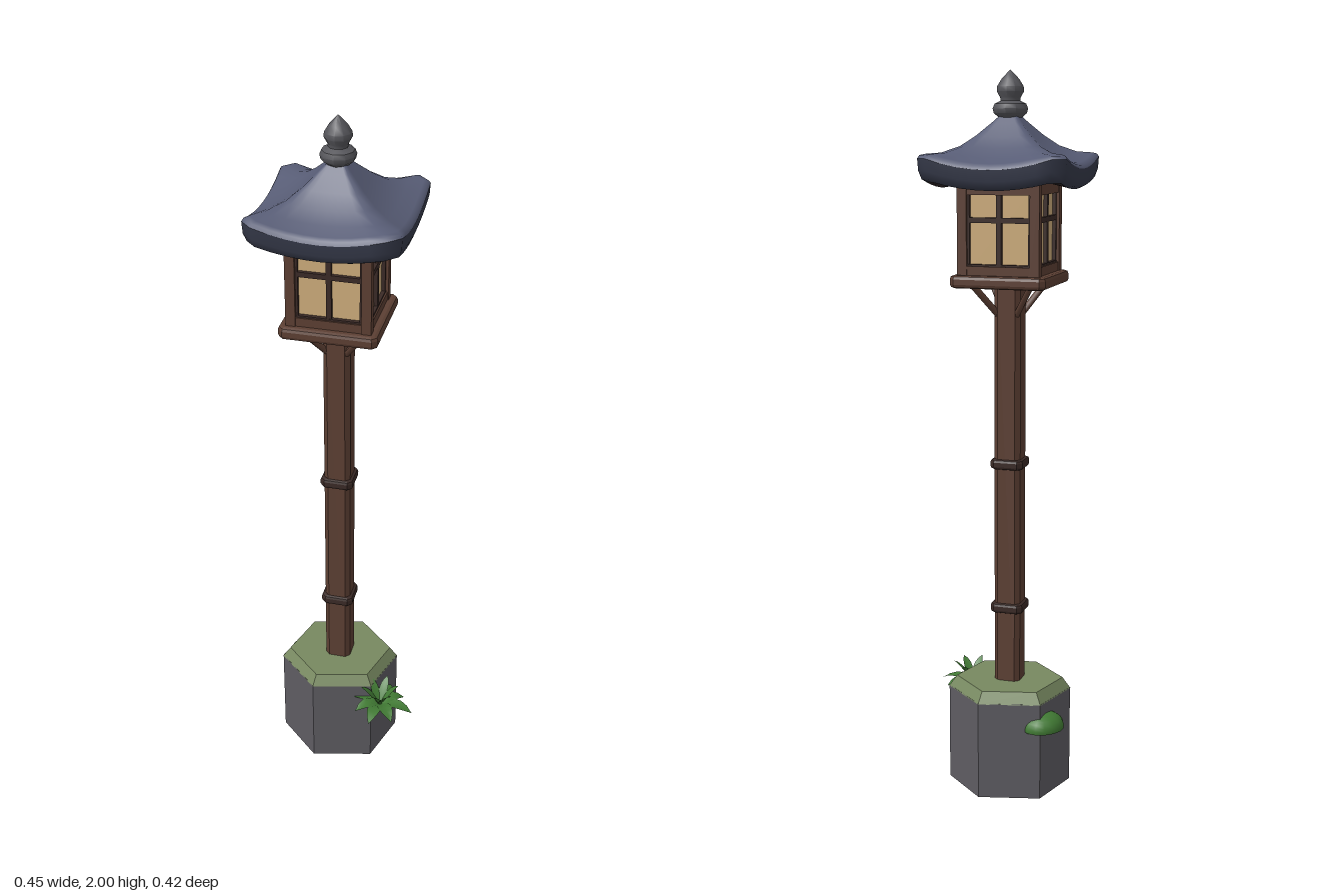
import * as THREE from 'three';
import { toCreasedNormals } from 'three/addons/utils/BufferGeometryUtils.js';

const mat = (name, color, extra = {}) =>
  Object.assign(new THREE.MeshStandardMaterial({ color, ...extra }), { name });

export function createModel() {
  const wood = mat('wood', 0x5c3f33);
  const darkWood = mat('dark wood', 0x3a2a26);
  const paper = mat('paper', 0xcdac7b);
  const slate = mat('roof slate', 0x585d76);
  const eaveDark = mat('dark eave', 0x353949);
  const under = mat('roof underside', 0x2e2527, { side: THREE.DoubleSide });
  const iron = mat('finial grey', 0x56565b);
  const stone = mat('stone', 0x5e5c62, { flatShading: true });
  const moss = mat('moss', 0x778860, { flatShading: true });
  const leafGreen = mat('leaf green', 0x417a34, { side: THREE.DoubleSide });

  const model = new THREE.Group();
  model.name = 'gardenLantern';
  const lamp = new THREE.Group();
  lamp.name = 'lamp';
  lamp.position.set(-0.028, 0, -0.01);
  model.add(lamp);

  const add = (name, geo, material, parent = lamp, x = 0, y = 0, z = 0) => {
    const mesh = new THREE.Mesh(geo, material);
    mesh.name = name;
    mesh.position.set(x, y, z);
    parent.add(mesh);
    return mesh;
  };

  // Square prism with chamfered upright edges and small top and bottom bevels
  const prism = (name, half, cut, y0, y1, material, bevel = 0) => {
    const h = half - bevel, k = h - cut;
    const shape = new THREE.Shape([[h, -k], [h, k], [k, h], [-k, h], [-h, k], [-h, -k], [-k, -h], [k, -h]]
      .map(([x, y]) => new THREE.Vector2(x, y)));
    const geo = new THREE.ExtrudeGeometry(shape, {
      depth: y1 - y0 - 2 * bevel, bevelEnabled: bevel > 0,
      bevelSize: bevel, bevelThickness: bevel, bevelSegments: 2,
    });
    geo.rotateX(-Math.PI / 2).translate(0, y0 + bevel, 0);
    return add(name, geo, material);
  };

  // Stone footing with a mossy top
  const footing = new THREE.CylinderGeometry(0.174, 0.174, 0.28, 6, 1, false, Math.PI / 4);
  add('footing', footing.scale(1, 1, 0.92), stone, lamp, 0, 0.14, 0);
  const cap = new THREE.CylinderGeometry(0.152, 0.175, 0.032, 6, 1, false, Math.PI / 4);
  add('mossCap', cap.scale(1, 1, 0.92), moss, lamp, 0, 0.294, 0);

  // Post and its two bands
  prism('post', 0.037, 0.0125, 0.3, 1.435, wood);
  for (const y of [0.525, 0.94]) prism('postBand', 0.046, 0.008, y - 0.014, y + 0.014, darkWood, 0.008);

  // Diagonal braces under the platform
  for (const sx of [-1, 1]) for (const sz of [-1, 1]) {
    const a = new THREE.Vector3(sx * 0.02, 1.345, sz * 0.02);
    const b = new THREE.Vector3(sx * 0.082, 1.44, sz * 0.082);
    const brace = add('brace', new THREE.CylinderGeometry(0.009, 0.009, a.distanceTo(b), 6), wood);
    brace.position.copy(a).add(b).multiplyScalar(0.5);
    brace.quaternion.setFromUnitVectors(new THREE.Vector3(0, 1, 0), b.sub(a).normalize());
  }

  // Platform and lantern box
  prism('platform', 0.132, 0.008, 1.433, 1.467, wood, 0.01);
  for (const sx of [-1, 1]) for (const sz of [-1, 1])
    add('cornerPost', new THREE.BoxGeometry(0.026, 0.25, 0.026), wood, lamp, sx * 0.1, 1.585, sz * 0.1);
  for (let i = 0; i < 4; i++) {
    const side = new THREE.Group();
    side.name = 'lanternSide';
    side.rotation.y = i * Math.PI / 2;
    lamp.add(side);
    const bar = (name, w, h, d, x, y, z, m) => add(name, new THREE.BoxGeometry(w, h, d), m, side, x, y, z);
    bar('pane', 0.18, 0.22, 0.006, 0, 1.585, 0.092, paper);
    bar('bottomRail', 0.176, 0.026, 0.02, 0, 1.478, 0.1, wood);
    bar('bottomLip', 0.176, 0.008, 0.018, 0, 1.492, 0.097, darkWood);
    bar('topRail', 0.176, 0.034, 0.02, 0, 1.695, 0.1, wood);
    bar('uprightBar', 0.014, 0.2, 0.012, 0, 1.585, 0.099, darkWood);
    bar('crossBar', 0.176, 0.014, 0.012, 0, 1.612, 0.099, darkWood);
    for (const s of [-1, 1]) bar('sideStile', 0.007, 0.2, 0.012, s * 0.0845, 1.585, 0.099, darkWood);
  }

  // Roof rings: [half width, height, corner lift], chamfered square in plan
  const roofSkin = (rings) => {
    const steps = 8, pos = [], index = [], n = 4 * (steps + 1);
    for (const [h, y, lift] of rings)
      for (let k = 0; k < 4; k++)
        for (let s = 0; s <= steps; s++) {
          const u = (s / steps * 2 - 1) * 0.85;
          const c = Math.round(Math.cos(k * Math.PI / 2)), d = Math.round(Math.sin(k * Math.PI / 2));
          pos.push(h * (c - u * d), y + lift * (u / 0.85) ** 2, h * (d + u * c));
        }
    for (let r = 0; r < rings.length - 1; r++)
      for (let i = 0; i < n; i++) {
        const j = (i + 1) % n, a = r * n + i, b = r * n + j;
        index.push(a, b, a + n, b, b + n, a + n);
      }
    const geo = new THREE.BufferGeometry();
    geo.setAttribute('position', new THREE.Float32BufferAttribute(pos, 3));
    geo.setIndex(index);
    geo.computeVertexNormals();
    return geo;
  };
  add('roofTop', roofSkin([
    [0.015, 1.89, 0], [0.04, 1.864, 0], [0.075, 1.828, 0.002], [0.11, 1.797, 0.006],
    [0.15, 1.773, 0.014], [0.185, 1.76, 0.024], [0.196, 1.754, 0.027], [0.201, 1.745, 0.028],
  ]), slate);
  add('roofEave', roofSkin([[0.201, 1.745, 0.028], [0.199, 1.715, 0.026], [0.192, 1.697, 0.022], [0.182, 1.692, 0.02]]), eaveDark);
  add('roofUnderside', roofSkin([[0.182, 1.692, 0.02], [0.15, 1.7, 0.012], [0.1, 1.712, 0], [0.001, 1.715, 0]]), under);

  // Finial: collar, neck and pointed bud
  const finial = [[0, 1.875], [0.03, 1.876], [0.044, 1.888], [0.047, 1.9], [0.042, 1.912], [0.026, 1.92],
    [0.027, 1.928], [0.036, 1.944], [0.035, 1.957], [0.024, 1.975], [0.01, 1.99], [0, 2]];
  add('finial', toCreasedNormals(new THREE.LatheGeometry(
    finial.map(([x, y]) => new THREE.Vector2(x, y)), 10), 0.7), iron);

  // Green cushion growing on the back of the footing
  const cushion = add('cushionPlant', new THREE.SphereGeometry(1, 14, 8, 0, Math.PI * 2, 0, Math.PI * 0.55),
    leafGreen, lamp, -0.122, 0.205, -0.078);
  cushion.scale.set(0.052, 0.042, 0.062);
  cushion.rotation.y = -0.7;

  // Leafy plant: folded, arching blades around one root
  const plant = new THREE.Group();
  plant.name = 'leafyPlant';
  plant.position.set(0.125, 0.225, 0.115);
  model.add(plant);
  const blade = (len, width, rise, droop) => {
    const pos = [], index = [], n = 5;
    for (let i = 0; i <= n; i++) {
      const t = i / n, w = width * Math.sin(Math.PI * (0.12 + 0.88 * t)) ** 0.8;
      const y = rise * t - droop * t * t, x = len * t;
      pos.push(x, y + w * 0.25, -w, x, y, 0, x, y + w * 0.25, w);
      if (i < n) for (const a of [i * 3, i * 3 + 1]) index.push(a, a + 1, a + 3, a + 1, a + 4, a + 3);
    }
    const geo = new THREE.BufferGeometry();
    geo.setAttribute('position', new THREE.Float32BufferAttribute(pos, 3));
    geo.setIndex(index);
    geo.computeVertexNormals();
    return geo;
  };
  for (let i = 0; i < 8; i++) {
    const len = [0.102, 0.085, 0.092, 0.08][i % 4];
    add('outerLeaf', blade(len, 0.02, 0.06, 0.06), leafGreen, plant).rotation.y = -0.15 - i * Math.PI / 4;
  }
  for (let i = 0; i < 6; i++)
    add('innerLeaf', blade(0.055, 0.013, 0.1, 0.03), leafGreen, plant).rotation.y = 0.3 + i * Math.PI / 3;

  return model;
}
